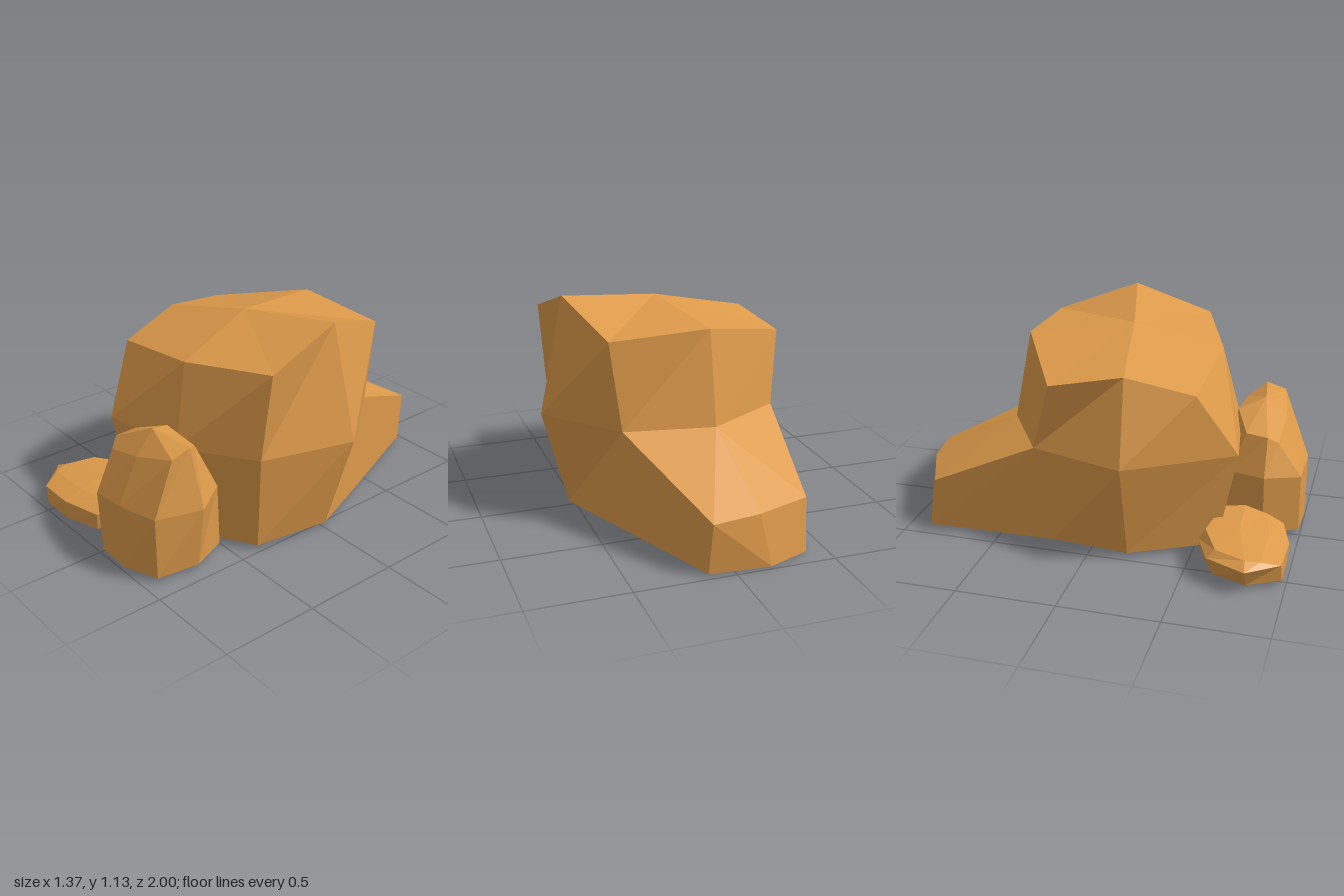
import * as THREE from 'three';
import { ConvexGeometry } from 'three/addons/geometries/ConvexGeometry.js';

const stone = new THREE.MeshStandardMaterial({ color: 0xdd9a4a, flatShading: true });

// Faceted boulder: stacked eight-point rings closed by a fan above and below
function boulder(name, rings, peak) {
  const pos = [];
  const tri = (...pts) => pts.forEach((p) => pos.push(...p));
  for (let r = 0; r < rings.length - 1; r++) {
    const low = rings[r], high = rings[r + 1];
    low.forEach((a, i) => {
      const j = (i + 1) % low.length;
      tri(a, low[j], high[j]);
      tri(a, high[j], high[i]);
    });
  }
  const base = rings[0], top = rings[rings.length - 1];
  const foot = [0, 1, 2].map((k) => base.reduce((s, p) => s + p[k], 0) / base.length);
  top.forEach((p, i) => tri(p, top[(i + 1) % top.length], peak));
  base.forEach((p, i) => tri(base[(i + 1) % base.length], p, foot));
  const geo = new THREE.BufferGeometry();
  geo.setAttribute('position', new THREE.Float32BufferAttribute(pos, 3));
  geo.computeVertexNormals();
  const mesh = new THREE.Mesh(geo, stone);
  mesh.name = name;
  return mesh;
}

// Ring of [x, z] points at one height
const level = (y, pts) => pts.map(([x, z]) => [x, y, z]);

export function createModel() {
  const group = new THREE.Group();
  group.name = 'rockCluster';

  // Main boulder; each ring runs left side, front, right side, back
  const mainBase = level(0.025, [[-0.47, 0.2], [-0.25, 0.61], [0.15, 0.58], [0.48, 0.39],
    [0.54, -0.01], [0.39, -0.375], [-0.08, -0.4], [-0.43, -0.2]]);
  const mainWaist = level(0.54, [[-0.62, 0.2], [-0.29, 0.71], [0.18, 0.645], [0.54, 0.42],
    [0.68, -0.05], [0.37, -0.43], [-0.08, -0.51], [-0.47, -0.28]]);
  const mainShoulder = [[-0.475, 0.955, 0.18], [-0.405, 0.87, 0.515], [0.125, 0.945, 0.545],
    [0.58, 0.99, 0.385], [0.55, 1.13, -0.02], [0.43, 0.99, -0.42], [-0.08, 1.01, -0.42],
    [-0.54, 0.9, -0.175]];
  group.add(boulder('mainBoulder', [mainBase, mainWaist, mainShoulder], [0.03, 1.07, 0.1]));

  // Sloping ledge running out behind the main boulder
  const ledge = [
    ...mainWaist.slice(5), ...mainBase.slice(4),
    [0.12, 0.27, -1], [-0.12, 0.275, -0.97], [-0.41, 0.265, -0.85],
    [0.13, 0.01, -0.97], [-0.18, 0.005, -0.985], [-0.4, 0, -0.89],
  ].map((p) => new THREE.Vector3(...p));
  const ledgeMesh = new THREE.Mesh(new ConvexGeometry(ledge), stone);
  ledgeMesh.name = 'rearLedge';
  group.add(ledgeMesh);

  // Upright rock in front
  group.add(boulder('uprightRock', [
    level(0.025, [[-0.09, 0.82], [0.015, 0.99], [0.205, 1], [0.39, 0.93],
      [0.42, 0.71], [0.34, 0.52], [0.1, 0.54], [-0.05, 0.64]]),
    [[-0.145, 0.365, 0.82], [-0.01, 0.335, 0.99], [0.2, 0.365, 1], [0.41, 0.365, 0.945],
      [0.48, 0.365, 0.715], [0.35, 0.365, 0.535], [0.1, 0.365, 0.54], [-0.1, 0.365, 0.64]],
    [[-0.08, 0.56, 0.82], [-0.04, 0.52, 0.87], [0.185, 0.58, 0.88], [0.415, 0.645, 0.84],
      [0.415, 0.675, 0.74], [0.33, 0.62, 0.65], [0.1, 0.63, 0.64], [-0.07, 0.57, 0.71]],
  ], [0.165, 0.685, 0.77]));

  // Low flat rock in front
  group.add(boulder('flatRock', [
    level(0.025, [[-0.62, 0.82], [-0.53, 0.98], [-0.33, 0.98], [-0.15, 0.92],
      [-0.13, 0.75], [-0.16, 0.6], [-0.4, 0.57], [-0.56, 0.65]]),
    [[-0.685, 0.125, 0.82], [-0.55, 0.115, 0.975], [-0.34, 0.125, 0.985], [-0.13, 0.125, 0.93],
      [-0.09, 0.125, 0.75], [-0.13, 0.125, 0.59], [-0.405, 0.125, 0.545], [-0.59, 0.125, 0.62]],
    [[-0.62, 0.155, 0.81], [-0.6, 0.145, 0.88], [-0.34, 0.16, 0.885], [-0.13, 0.165, 0.85],
      [-0.12, 0.195, 0.73], [-0.15, 0.19, 0.62], [-0.4, 0.18, 0.58], [-0.57, 0.165, 0.66]],
  ], [-0.35, 0.185, 0.74]));

  return group;
}
